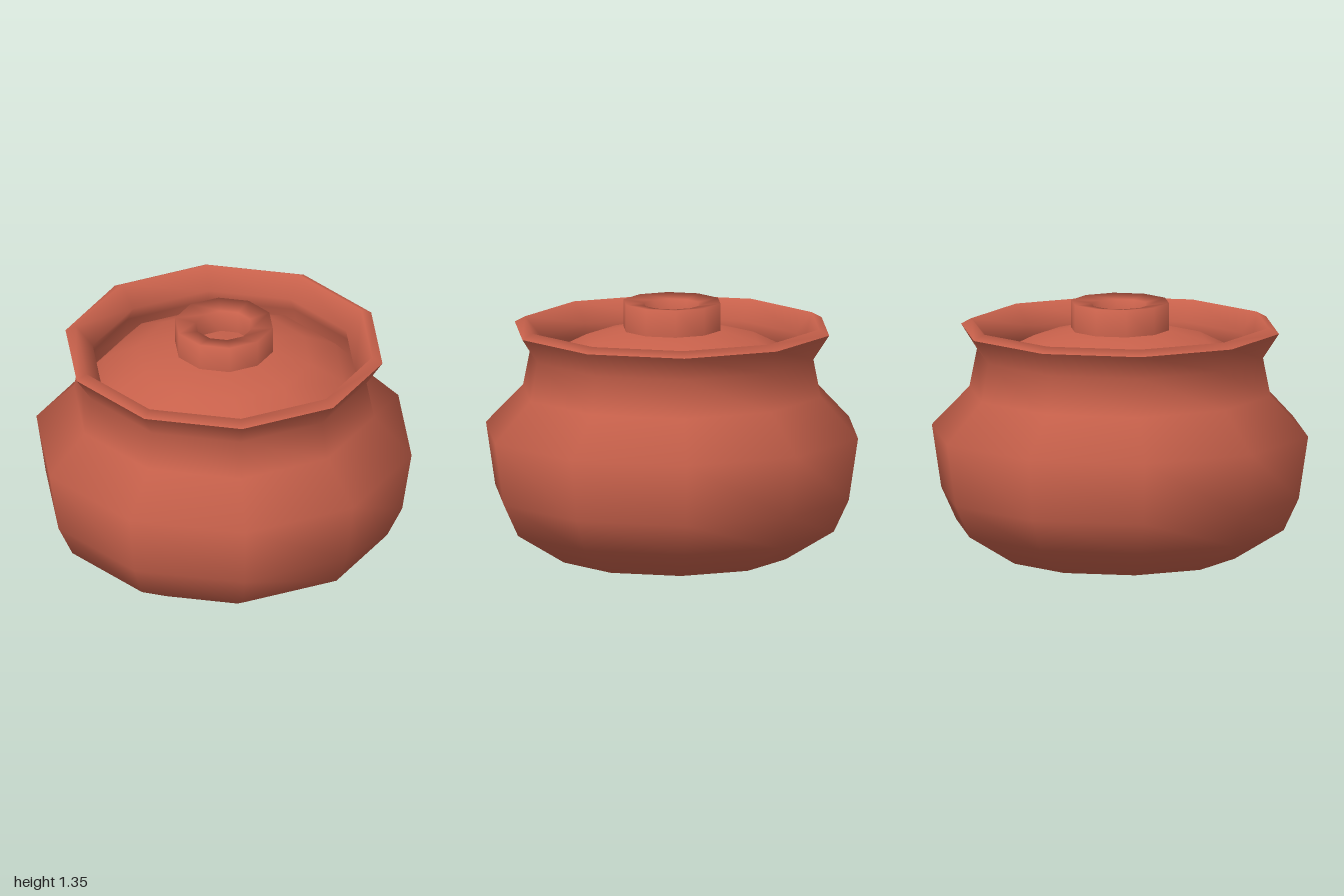
import * as THREE from 'three';

const SIDES = 10;

// Ten-sided turned part with a corner on the x axis; profile is [radius, height]
function turned(name, profile, material) {
  const points = profile.map(([r, y]) => new THREE.Vector2(r, y));
  const geometry = new THREE.LatheGeometry(points, SIDES, Math.PI / 2);
  const mesh = new THREE.Mesh(geometry, material);
  mesh.name = name;
  return mesh;
}

export function createModel() {
  const model = new THREE.Group();
  model.name = 'claypot';

  const terracotta = new THREE.MeshStandardMaterial({ color: 0xc8614b });
  terracotta.name = 'terracotta';

  // Base, belly, neck and the outside of the flared rim
  model.add(turned('potBody', [
    [0, 0], [0.61, 0], [0.87, 0.16], [0.95, 0.33], [1, 0.66],
    [0.8, 0.87], [0.76, 1.07], [0.845, 1.2],
  ], terracotta));

  // Rim top sloping inward, then the undercut inner wall behind the lid
  model.add(turned('rim', [
    [0.845, 1.2], [0.79, 1.23], [0.7, 1.125], [0.745, 1.04], [0.76, 0.93],
  ], terracotta));

  // Domed lid sitting inside the neck
  model.add(turned('lid', [
    [0.76, 0.93], [0.64, 1.06], [0.46, 1.15], [0.26, 1.2], [0, 1.22],
  ], terracotta));

  // Ring-shaped knob, open down to the lid
  model.add(turned('knob', [
    [0.26, 1.17], [0.26, 1.345], [0.15, 1.33], [0.15, 1.2],
  ], terracotta));

  return model;
}
